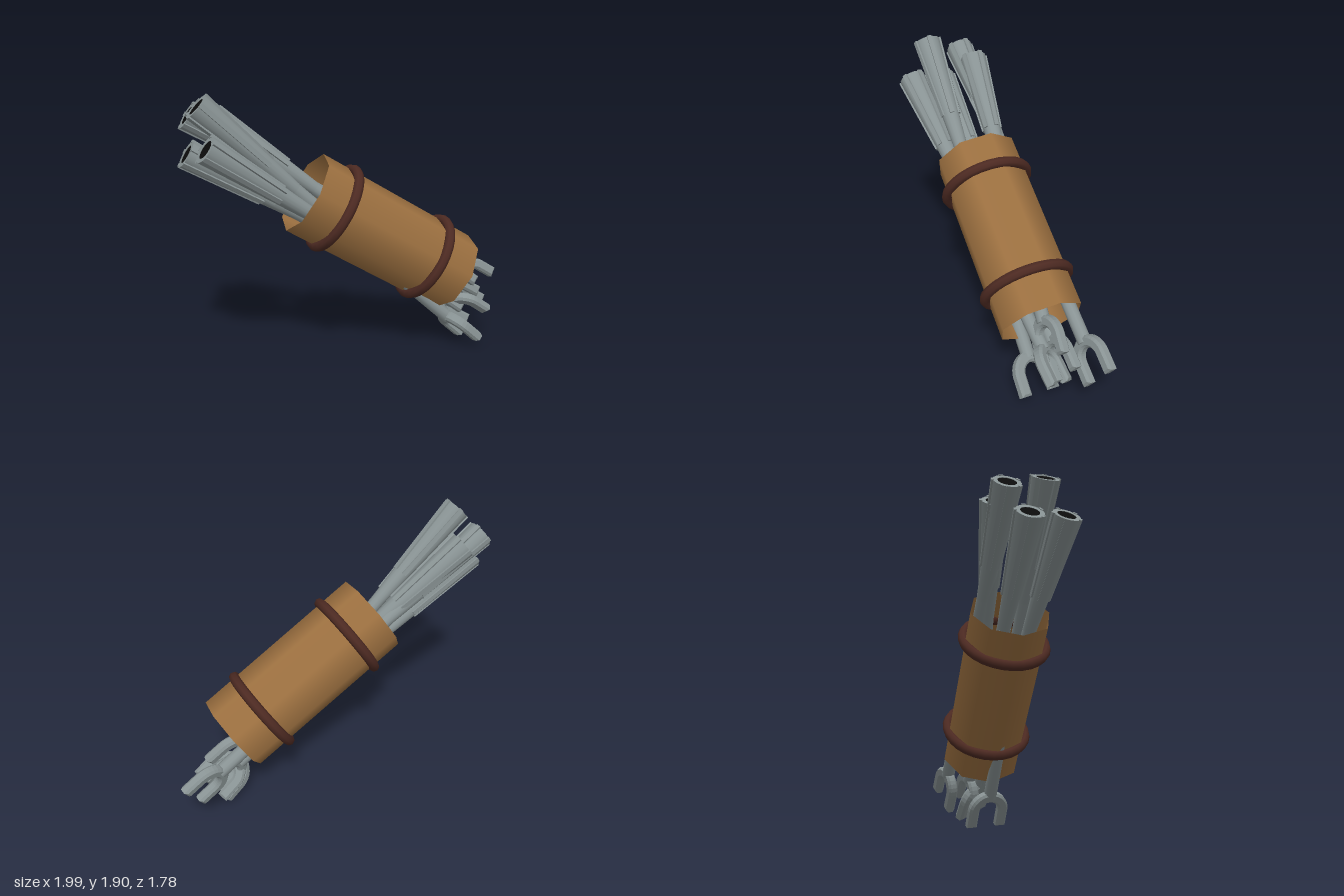
import * as THREE from 'three';

const mat = (name, color, side = THREE.FrontSide) => {
  const m = new THREE.MeshStandardMaterial({ color, side });
  m.name = name;
  return m;
};

// Local frame: +y runs along 'axis', +x as close to 'across' as possible.
function orient(group, origin, axis, across) {
  const y = axis.clone().normalize();
  const x = across.clone().addScaledVector(y, -across.dot(y)).normalize();
  const z = new THREE.Vector3().crossVectors(x, y);
  group.quaternion.setFromRotationMatrix(new THREE.Matrix4().makeBasis(x, y, z));
  group.position.copy(origin);
}

export function createModel() {
  const leather = mat('leather', 0x9c7040, THREE.DoubleSide);
  const cord = mat('cord', 0x4d2a22);
  const steel = mat('steel', 0x899394, THREE.DoubleSide);
  const black = mat('black', 0x0c0c0c, THREE.DoubleSide);

  const model = new THREE.Group();
  const V = (a) => new THREE.Vector3(...a);
  const add = (parent, name, geometry, material) => {
    const mesh = new THREE.Mesh(geometry, material);
    mesh.name = name;
    parent.add(mesh);
    return mesh;
  };

  // Open eight-sided sleeve with two cords around it
  const bottom = V([0.73, 0.535, -0.385]);
  const top = V([-0.19, 1.205, 0.225]);
  const axis = top.clone().sub(bottom);
  const length = axis.length();
  const sleeve = new THREE.Group();
  sleeve.name = 'sleeve';
  orient(sleeve, bottom, axis, V([0.669, 0.708, 0.228]));
  model.add(sleeve);
  add(sleeve, 'sleeveWall', new THREE.CylinderGeometry(0.29, 0.29, length, 8, 1, true), leather)
    .position.y = length / 2;
  for (const t of [0.205, 0.815]) {
    const ring = add(sleeve, 'cordRing', new THREE.TorusGeometry(0.295, 0.036, 8, 28), cord);
    ring.rotation.x = Math.PI / 2;
    ring.position.y = t * length;
  }

  // Two-pronged fork, drawn with its prongs pointing down from the arc centre
  const PRONG = 0.12;
  const forkShape = new THREE.Shape();
  forkShape.moveTo(0.092, -PRONG);
  forkShape.lineTo(0.138, -PRONG);
  forkShape.absarc(0, 0, 0.138, 0, Math.PI, false);
  forkShape.lineTo(-0.138, -PRONG);
  forkShape.lineTo(-0.092, -PRONG);
  forkShape.absarc(0, 0, 0.092, Math.PI, 0, true);
  const forkGeometry = new THREE.ExtrudeGeometry(forkShape, {
    depth: 0.04, bevelEnabled: true, bevelThickness: 0.016, bevelSize: 0.016,
    bevelSegments: 1, curveSegments: 8,
  });
  forkGeometry.translate(0, 0, -0.02);

  // Rod: flared ribbed socket at the origin, shaft below it, fork at the far end
  const FLARE = 0.85, MOUTH = 0.095, NECK = 0.048, RIB = 0.6;
  function makeRod(mouth, tip, across) {
    const rod = new THREE.Group();
    rod.name = 'rod';
    const dir = mouth.clone().sub(tip);
    const len = dir.length();
    orient(rod, mouth, dir, across);

    const shaftLen = len - PRONG - 0.11 - FLARE;
    add(rod, 'shaft', new THREE.CylinderGeometry(NECK, NECK, shaftLen, 12), steel)
      .position.y = -FLARE - shaftLen / 2;
    add(rod, 'socket', new THREE.CylinderGeometry(MOUTH, NECK, FLARE, 16, 1, true), steel)
      .position.y = -FLARE / 2;
    const rim = add(rod, 'socketRim', new THREE.RingGeometry(0.064, MOUTH, 16), steel);
    rim.rotation.x = -Math.PI / 2;
    const bore = add(rod, 'bore', new THREE.CircleGeometry(0.067, 16), black);
    bore.rotation.x = -Math.PI / 2;
    bore.position.y = -0.004;

    // Raised ribs following the flare
    const slope = (MOUTH - NECK) / FLARE;
    for (let i = 0; i < 5; i++) {
      const holder = new THREE.Group();
      holder.name = 'ribHolder';
      holder.rotation.y = (i / 5) * Math.PI * 2;
      const rib = add(holder, 'rib', new THREE.BoxGeometry(0.018, RIB, 0.032), steel);
      rib.position.set(MOUTH - slope * RIB / 2 + 0.001, -RIB / 2 + 0.004, 0);
      rib.rotation.z = -Math.atan(slope);
      rod.add(holder);
    }

    add(rod, 'fork', forkGeometry, steel).position.y = -len + PRONG;
    model.add(rod);
  }

  // Mouth centre, fork tip centre and prong direction of each rod
  const rods = [
    [[-0.74, 1.82, 0.69], [0.86, 0.05, -0.4], [0.18, 0.01, 0.14]],
    [[-0.64, 1.57, 0.79], [0.88, 0.17, -0.53], [0.18, 0.15, 0.1]],
    [[-0.91, 1.73, 0.49], [0.93, 0.31, -0.79], [0.07, 0.18, -0.14]],
    [[-0.79, 1.7, 0.36], [0.83, 0.34, -0.48], [0.05, 0.14, -0.1]],
    [[-0.86, 1.5, 0.62], [0.85, 0.22, -0.57], [0.1, 0.3, -0.2]],
  ];
  for (const [mouth, tip, across] of rods) makeRod(V(mouth), V(tip), V(across));

  return model;
}
